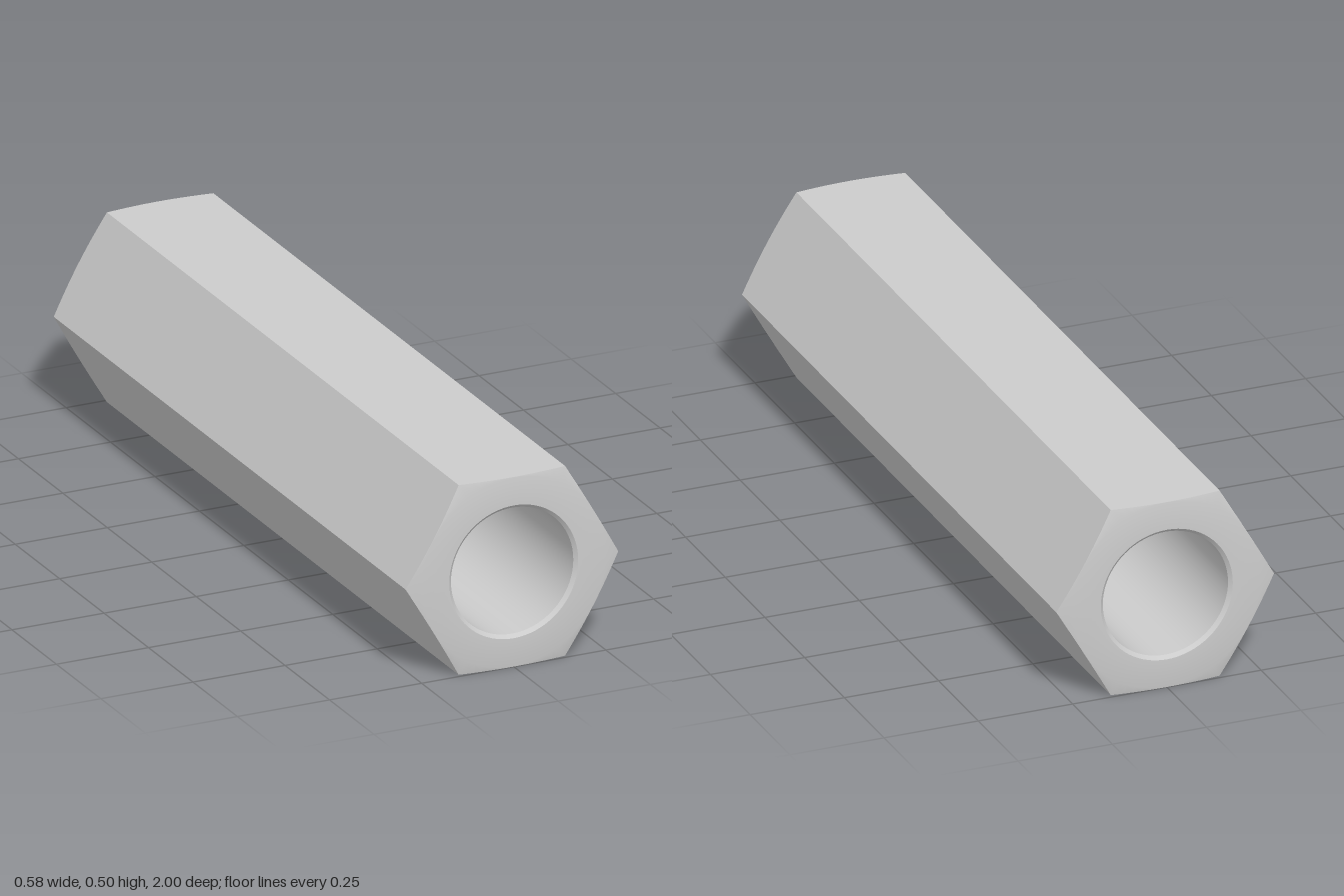
import * as THREE from 'three';
import { toCreasedNormals } from 'three/addons/utils/BufferGeometryUtils.js';

const APOTHEM = 0.25;     // half the distance across the flats
const HALF = 1;           // half the length
const BORE = 0.166;       // bore radius
const RIM = 0.175;        // bore radius at the end faces
const FACE = 0.249;       // radius where the corner chamfer begins
const SEGMENTS = 72;      // a multiple of 6, so hexagon corners are exact

// Distance from the axis to the hexagon, corners pointing along x
const hexRadius = (a) => {
  const sector = Math.PI / 3;
  const local = ((a % sector) + sector) % sector;
  return APOTHEM / Math.cos(local - sector / 2);
};

// Closed loop of [radius, z] in the half-plane at angle a
function section(a) {
  const outer = hexRadius(a);
  const outerZ = HALF - (outer - FACE) * Math.tan(Math.PI / 12);
  const front = [[BORE, HALF - (RIM - BORE)], [RIM, HALF], [FACE, HALF], [outer, outerZ]];
  const back = front.map(([r, z]) => [r, -z]).reverse();
  return [...front, ...back];
}

// Sweep the section around the z axis
function sleeveGeometry() {
  const positions = [];
  const indices = [];
  const n = section(0).length;
  for (let i = 0; i < SEGMENTS; i++) {
    const a = (i / SEGMENTS) * Math.PI * 2;
    for (const [r, z] of section(a + 1e-9)) {
      positions.push(r * Math.cos(a), r * Math.sin(a), z);
    }
    const next = (i + 1) % SEGMENTS;
    for (let j = 0; j < n; j++) {
      const k = (j + 1) % n;
      const p = i * n + j, q = i * n + k, s = next * n + k, t = next * n + j;
      indices.push(p, q, s, p, s, t);
    }
  }
  const geometry = new THREE.BufferGeometry();
  geometry.setAttribute('position', new THREE.Float32BufferAttribute(positions, 3));
  geometry.setIndex(indices);
  return toCreasedNormals(geometry, 0.5);
}

export function createModel() {
  const group = new THREE.Group();
  group.name = 'hexStandoff';

  // Hexagonal sleeve with through bore and chamfered ends
  const sleeve = new THREE.Mesh(
    sleeveGeometry(),
    new THREE.MeshStandardMaterial({ color: 0xcccccc })
  );
  sleeve.name = 'hexSleeve';
  sleeve.position.y = APOTHEM;
  group.add(sleeve);

  return group;
}
